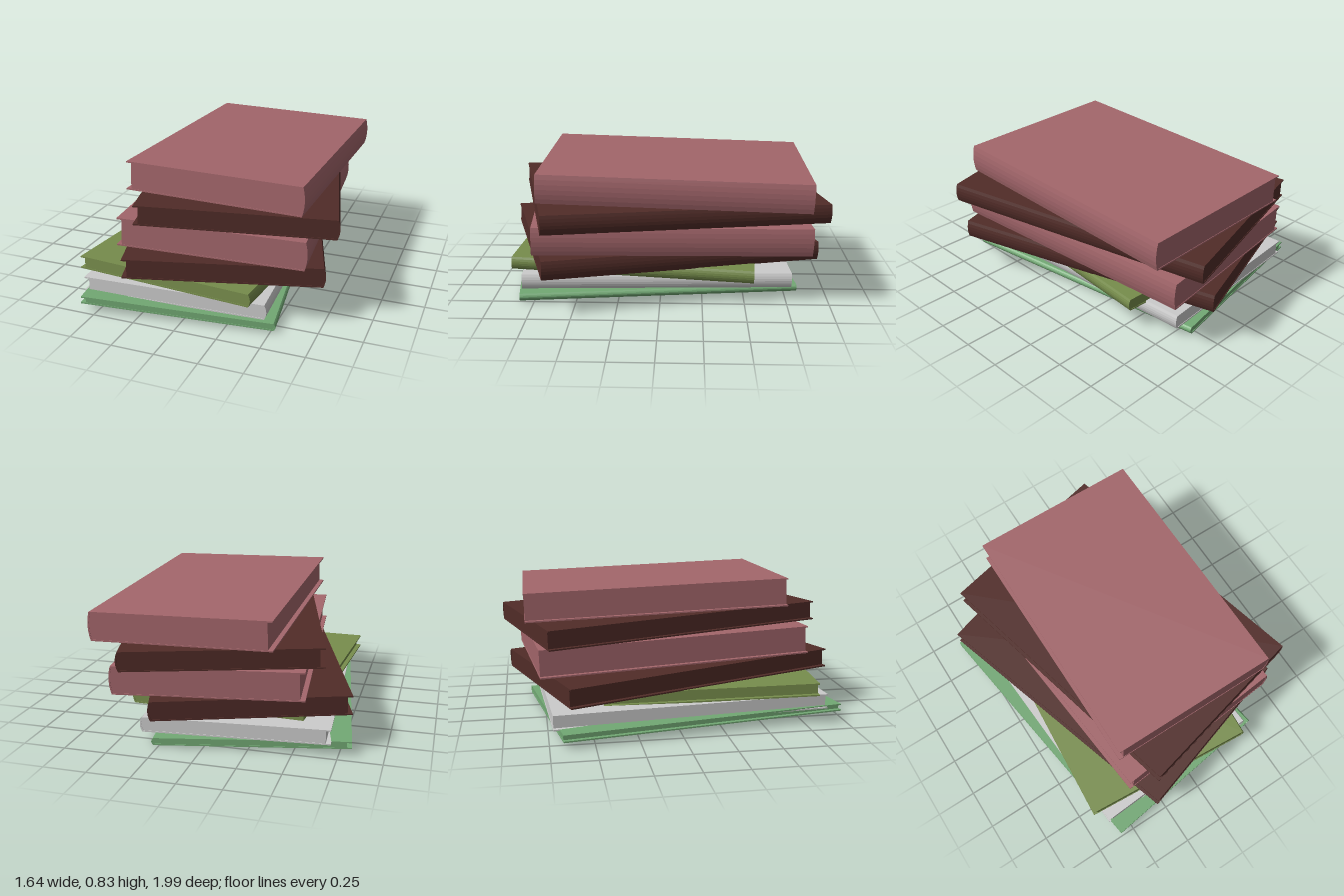
import * as THREE from 'three';

const COVER = 0.008; // board thickness
const PINK = 0xa3666b, DARK = 0x512c28, OLIVE = 0x778d4c, GREY = 0xcccccc, GREEN = 0x72a974;

// Bottom to top: centre of the top board, size, yaw in degrees, slope of the book along x and z
const BOOKS = [
  { name: 'greenBook', color: GREEN, at: [-0.147, 0.07, 0.078], size: [1.12, 0.043, 1.68], yaw: 8.1, slope: [-0.033, 0.013] },
  { name: 'greyBook', color: GREY, at: [-0.12, 0.158, 0.05], size: [1.083, 0.088, 1.62], yaw: 3.5, slope: [-0.011, 0.008] },
  { name: 'oliveBook', color: OLIVE, at: [-0.083, 0.234, 0.13], size: [1.078, 0.076, 1.454], yaw: -4.3, slope: [-0.013, 0.0235] },
  { name: 'lowerDarkBook', color: DARK, at: [-0.03, 0.34, 0.01], size: [1.116, 0.112, 1.685], yaw: 17.1, slope: [-0.0135, 0.0265] },
  { name: 'lowerPinkBook', color: PINK, at: [0.045, 0.506, -0.035], size: [1.085, 0.166, 1.62], yaw: 5.5, slope: [-0.02, 0.03] },
  { name: 'upperDarkBook', color: DARK, at: [0.072, 0.629, -0.05], size: [1.116, 0.113, 1.685], yaw: 13.7, slope: [-0.0214, 0.0297] },
  { name: 'upperPinkBook', color: PINK, at: [0.11, 0.801, -0.088], size: [1.04, 0.168, 1.555], yaw: 0, slope: [-0.019, 0.031] },
];

// Extrude a profile along z, centred
function extrude(shape, depth) {
  const geo = new THREE.ExtrudeGeometry(shape, { depth, bevelEnabled: false, curveSegments: 6 });
  return geo.translate(0, 0, -depth / 2);
}

// Boards joined by a rounded spine at +x; the other three edges are open
function coverShape(w, t) {
  const l = -w / 2, r = w / 2 - 0.006, bulge = 0.025;
  const s = new THREE.Shape();
  s.moveTo(l, -t);
  s.lineTo(r, -t);
  s.quadraticCurveTo(r + bulge, -t / 2, r, 0);
  s.lineTo(l, 0);
  s.lineTo(l, -COVER);
  s.lineTo(r - COVER, -COVER);
  s.quadraticCurveTo(r + bulge - COVER, -t / 2, r - COVER, -t + COVER);
  s.lineTo(l, -t + COVER);
  s.closePath();
  return s;
}

// Page block, set back from the fore edge and following the spine
function pageShape(w, t) {
  const l = -w / 2 + 0.028, r = w / 2 - 0.006 - COVER;
  const s = new THREE.Shape();
  s.moveTo(l, -t + COVER);
  s.lineTo(r, -t + COVER);
  s.quadraticCurveTo(r + 0.025, -t / 2, r, -COVER);
  s.lineTo(l, -COVER);
  s.closePath();
  return s;
}

function makeBook({ name, color, at, size: [w, t, d], yaw, slope: [a, b] }) {
  const book = new THREE.Group();
  book.name = name;
  const material = new THREE.MeshStandardMaterial({ color });
  const cover = new THREE.Mesh(extrude(coverShape(w, t), d), material);
  cover.name = 'cover';
  const pages = new THREE.Mesh(extrude(pageShape(w, t), d - 0.006), material);
  pages.name = 'pages';
  book.add(cover, pages);

  // Turn the book, then lean it along its slope
  const up = new THREE.Vector3(0, 1, 0);
  const turn = new THREE.Quaternion().setFromAxisAngle(up, THREE.MathUtils.degToRad(yaw));
  const lean = new THREE.Quaternion().setFromUnitVectors(up, new THREE.Vector3(-a, 1, -b).normalize());
  book.quaternion.copy(lean.multiply(turn));
  book.position.set(...at);
  return book;
}

export function createModel() {
  const stack = new THREE.Group();
  stack.name = 'bookStack';
  BOOKS.forEach((spec) => stack.add(makeBook(spec)));
  return stack;
}
